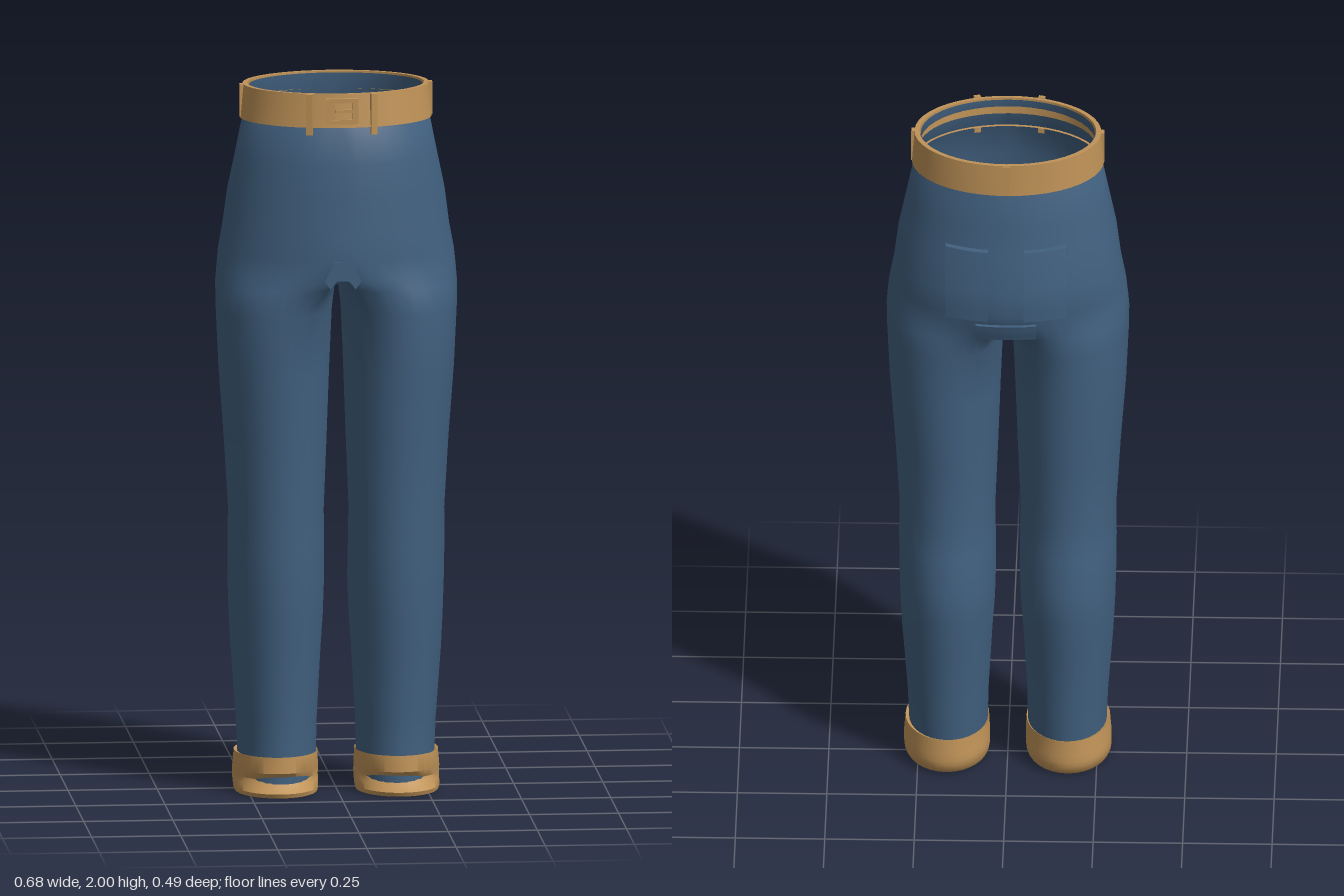
import * as THREE from 'three';
import { mergeGeometries, mergeVertices, toCreasedNormals } from 'three/addons/utils/BufferGeometryUtils.js';

const N = 32;      // points round one leg
const INNER = 5;   // points each side of the inseam that belong to the crotch

// Rows: [y, inner x, outer x, front z, back z, k]
// k = -1: open half ellipse of the hips, 0: hips closed by the crotch line, 1: full leg ellipse
const BODY = [
  [1.995, 0, 0.243, 0.192, -0.17, -1],
  [1.92, 0, 0.25, 0.2, -0.175, -1],
  [1.9, 0, 0.264, 0.212, -0.182, -1],
  [1.8, 0, 0.284, 0.227, -0.194, -1],
  [1.7, 0, 0.305, 0.236, -0.211, -1],
  [1.6, 0, 0.318, 0.24, -0.226, -1],
  [1.53, 0, 0.331, 0.245, -0.224, -1],
  [1.48, 0.008, 0.336, 0.242, -0.21, 0],
  [1.44, 0.01, 0.339, 0.235, -0.195, 0.55],
  [1.37, 0.014, 0.338, 0.226, -0.177, 0.92],
  [1.2, 0.02, 0.33, 0.215, -0.17, 1],
  [1.0, 0.027, 0.315, 0.201, -0.16, 1],
  [0.8, 0.035, 0.303, 0.191, -0.146, 1],
  [0.7, 0.034, 0.304, 0.19, -0.156, 1],
  [0.6, 0.033, 0.303, 0.187, -0.174, 1],
  [0.5, 0.036, 0.3, 0.18, -0.17, 1],
  [0.4, 0.043, 0.295, 0.171, -0.156, 1],
  [0.2, 0.054, 0.28, 0.157, -0.136, 1],
  [0.1, 0.056, 0.276, 0.155, -0.13, 1],
  [0.025, 0.06, 0.276, 0.158, -0.122, 1],
];

const BELT = [
  [1.95, 0, 0.246, 0.194, -0.173, -1],
  [2.0, 0, 0.247, 0.195, -0.174, -1],
  [2.0, 0, 0.261, 0.205, -0.185, -1],
  [1.905, 0, 0.269, 0.215, -0.188, -1],
  [1.905, 0, 0.255, 0.2, -0.175, -1],
];

const CUFF = [
  [0.105, 0.06, 0.27, 0.148, -0.122, 1],
  [0.112, 0.052, 0.286, 0.164, -0.138, 1],
  [0.066, 0.05, 0.29, 0.167, -0.142, 1],
  [0.046, 0.05, 0.29, 0.149, -0.144, 1],
  [0.032, 0.05, 0.29, 0.16, -0.143, 1],
  [0.012, 0.051, 0.289, 0.19, -0.137, 1],
  [0, 0.054, 0.285, 0.184, -0.122, 1],
  [0.004, 0.066, 0.27, 0.152, -0.11, 1],
  [0.09, 0.064, 0.268, 0.145, -0.115, 1],
];

function ringPoint([y, xi, xo, zf, zb, k], j) {
  const cz = (zf + zb) / 2, rz = (zf - zb) / 2;
  const t = (j / N) * Math.PI * 2;
  const leg = [(xi + xo) / 2 - ((xo - xi) / 2) * Math.cos(t), cz + rz * Math.sin(t)];
  let hip;
  if (j < INNER) hip = [0, cz + (rz * j) / INNER];
  else if (j > N - INNER) hip = [0, cz - (rz * (N - j)) / INNER];
  else {
    const u = ((j - INNER) / (N - 2 * INNER)) * Math.PI;
    hip = [xo * Math.sin(u), cz + rz * Math.cos(u)];
  }
  const b = Math.max(0, k);
  return [hip[0] + (leg[0] - hip[0]) * b, y, hip[1] + (leg[1] - hip[1]) * b];
}

// One side skinned through its rows; side = 1 or -1
function loft(rows, side) {
  const pos = [], index = [];
  for (const row of rows) {
    for (let j = 0; j <= N; j++) {
      const [x, y, z] = ringPoint(row, j % N);
      pos.push(x < 1e-6 ? 0 : x * side, y, z);
    }
  }
  for (let i = 0; i < rows.length - 1; i++) {
    const open = rows[i][5] < 0;
    for (let j = open ? INNER : 0; j < (open ? N - INNER : N); j++) {
      const a = i * (N + 1) + j, b = a + N + 1;
      if (side > 0) index.push(a, b, b + 1, a, b + 1, a + 1);
      else index.push(a, b + 1, b, a, a + 1, b + 1);
    }
  }
  const g = new THREE.BufferGeometry();
  g.setAttribute('position', new THREE.Float32BufferAttribute(pos, 3));
  g.setIndex(index);
  return g;
}

const bothSides = (rows, crease) =>
  toCreasedNormals(mergeVertices(mergeGeometries([loft(rows, 1), loft(rows, -1)])), crease);

// Seat surface depth at x, y
function seatZ(x, y) {
  let i = 0;
  while (i < BODY.length - 2 && BODY[i + 1][0] > y) i++;
  const p = BODY[i], q = BODY[i + 1], f = (p[0] - y) / (p[0] - q[0]);
  const mix = (c) => p[c] + (q[c] - p[c]) * f;
  const rx = mix(2), zf = mix(3), zb = mix(4);
  return (zf + zb) / 2 - ((zf - zb) / 2) * Math.sqrt(1 - (x / rx) ** 2);
}

// Patch bent over the seat
function seatPatch(cx, cy, w, h, lift) {
  const g = new THREE.BoxGeometry(w, h, 1, 6, 6, 1);
  g.translate(cx, cy, 0);
  const p = g.attributes.position;
  for (let i = 0; i < p.count; i++) {
    const out = p.getZ(i) < 0 ? lift : -0.008;
    p.setZ(i, seatZ(p.getX(i), p.getY(i)) - out);
  }
  return toCreasedNormals(g, 0.6);
}

export function createModel() {
  const group = new THREE.Group();
  const denim = new THREE.MeshStandardMaterial({ color: 0x41607f, side: THREE.DoubleSide });
  denim.name = 'denim blue';
  const tan = new THREE.MeshStandardMaterial({ color: 0xc09358, side: THREE.DoubleSide });
  tan.name = 'tan';

  const add = (name, geometry, material, x = 0, y = 0, z = 0, ry = 0) => {
    const m = new THREE.Mesh(geometry, material);
    m.name = name;
    m.position.set(x, y, z);
    m.rotation.y = ry;
    group.add(m);
    return m;
  };
  const box = (name, w, h, d, x, y, z, ry) =>
    add(name, new THREE.BoxGeometry(w, h, d), tan, x, y, z, ry);

  // Trousers and waistband
  add('trousers', bothSides(BODY, 1.0), denim);
  add('belt', bothSides(BELT, 0.7), tan);

  for (const s of [1, -1]) {
    const n = s > 0 ? 'left' : 'right';
    add(n + 'Cuff', toCreasedNormals(mergeVertices(loft(CUFF, s)), 0.7), tan);
    add(n + 'BackPocket', seatPatch(s * 0.11, 1.632, 0.12, 0.212, 0.018), denim);
    // Belt loops
    box(n + 'SideLoop', 0.01, 0.093, 0.02, s * 0.265, 1.953, 0.014);
    box(n + 'FrontLoop', 0.018, 0.115, 0.012, s * 0.09, 1.942, 0.203, s * 0.25);
  }
  box('backLoop', 0.022, 0.093, 0.01, 0, 1.953, -0.186);

  // Buckle: frame, bar and prong
  const frame = new THREE.Shape();
  frame.moveTo(-0.045, -0.036).lineTo(0.045, -0.036).lineTo(0.045, 0.036).lineTo(-0.045, 0.036).closePath();
  const hole = new THREE.Path();
  hole.moveTo(-0.03, -0.024).lineTo(-0.03, 0.024).lineTo(0.03, 0.024).lineTo(0.03, -0.024).closePath();
  frame.holes.push(hole);
  add('buckleFrame', new THREE.ExtrudeGeometry(frame, { depth: 0.014, bevelEnabled: false }), tan, 0, 1.952, 0.204);
  box('buckleBar', 0.008, 0.05, 0.012, -0.024, 1.952, 0.21);
  box('bucklePronge'.slice(0, -1), 0.05, 0.008, 0.012, 0.006, 1.952, 0.211);

  // Crotch gusset: arched front piece and back flap
  const gusset = new THREE.Shape();
  gusset.moveTo(-0.025, 1.53).lineTo(-0.052, 1.475).lineTo(-0.035, 1.452).lineTo(-0.018, 1.475)
    .lineTo(0.018, 1.475).lineTo(0.035, 1.452).lineTo(0.052, 1.475).lineTo(0.025, 1.53).closePath();
  add('frontGusset', new THREE.ExtrudeGeometry(gusset, { depth: 0.045, bevelEnabled: false }), denim, 0, 0, 0.201);
  add('backGusset', seatPatch(0, 1.478, 0.17, 0.05, 0.012), denim);

  return group;
}
